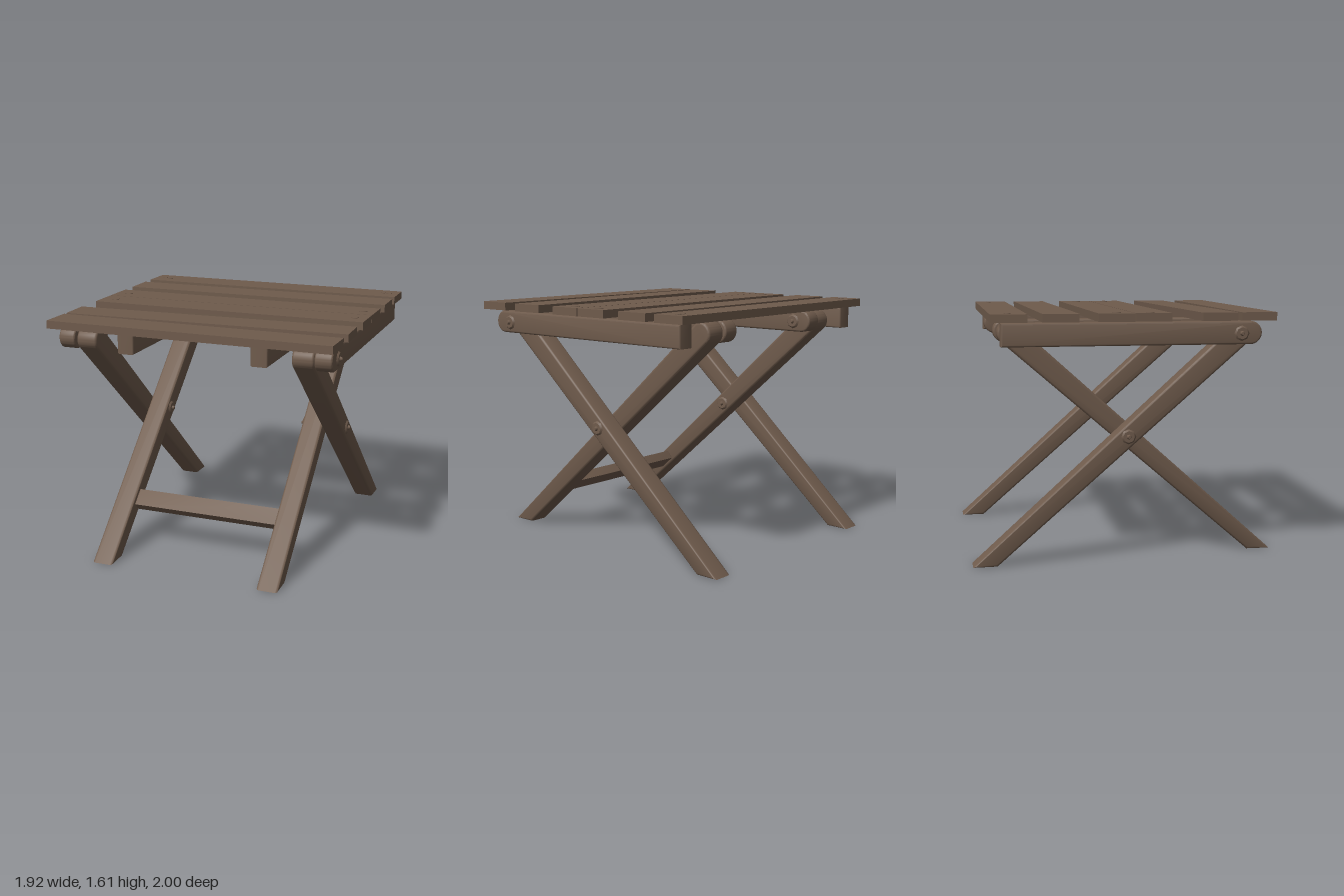
import * as THREE from 'three';
import { toCreasedNormals } from 'three/addons/utils/BufferGeometryUtils.js';

export function createModel() {
  const group = new THREE.Group();
  group.name = 'foldingStool';
  const wood = new THREE.MeshStandardMaterial({ color: 0x6f5b4c });
  wood.name = 'brown wood';

  const add = (name, geometry, x, y, z, parent = group) => {
    const mesh = new THREE.Mesh(geometry, wood);
    mesh.name = name;
    mesh.position.set(x, y, z);
    parent.add(mesh);
    return mesh;
  };

  // Board cut from a side profile (z, y), centred on x, with rounded edges
  const board = (shape, width, bevel) => {
    const geometry = new THREE.ExtrudeGeometry(shape, {
      depth: width - 2 * bevel, bevelEnabled: true, bevelThickness: bevel,
      bevelSize: bevel, bevelOffset: -bevel, bevelSegments: 3, curveSegments: 14,
    });
    geometry.translate(0, 0, bevel - width / 2).rotateY(-Math.PI / 2);
    return toCreasedNormals(geometry, 0.7);
  };

  // Leg: flat foot on the ground, slightly wider rounded top
  const legShape = new THREE.Shape();
  const lean = Math.atan(0.885);
  legShape.moveTo(-1, 0.004);
  legShape.lineTo(-0.845, 0.004);
  legShape.absarc(0.742, 1.475, 0.074, lean - Math.PI / 2, lean + Math.PI / 2, false);
  legShape.closePath();
  const legGeometry = board(legShape, 0.142, 0.016);

  // Rail: one square end, one half-round end
  const railShape = new THREE.Shape();
  railShape.moveTo(-0.815, 1.41);
  railShape.lineTo(0.76, 1.41);
  railShape.absarc(0.76, 1.483, 0.073, -Math.PI / 2, Math.PI / 2, false);
  railShape.lineTo(-0.815, 1.556);
  railShape.closePath();
  const railGeometry = board(railShape, 0.114, 0.012);

  // Bolt: octagonal washer with a domed nut and a short pin, pointing along x
  const addBolt = (name, x, y, z, dir) => {
    const bolt = new THREE.Group();
    bolt.name = name;
    bolt.position.set(x, y, z);
    bolt.rotation.z = -dir * Math.PI / 2;
    add('washer', new THREE.CylinderGeometry(0.038, 0.05, 0.012, 8), 0, 0.006, 0, bolt);
    add('pin', new THREE.CylinderGeometry(0.01, 0.016, 0.016, 8), 0, 0.02, 0, bolt);
    group.add(bolt);
  };

  for (const side of [-1, 1]) {
    const label = side > 0 ? 'left' : 'right';
    // Outer pair stands at the back, inner pair at the front
    add(`${label}OuterLeg`, legGeometry, side * 0.732, 0, 0);
    add(`${label}InnerLeg`, legGeometry, side * 0.58, 0, 0).rotation.y = Math.PI;
    add(`${label}OuterRail`, railGeometry, side * 0.866, 0, 0);
    add(`${label}InnerRail`, railGeometry, side * 0.453, 0, 0).rotation.y = Math.PI;
    addBolt(`${label}OuterRailBolt`, side * 0.922, 1.48, 0.7, side);
    addBolt(`${label}InnerRailBolt`, side * 0.397, 1.48, -0.7, -side);
    addBolt(`${label}OuterPivotBolt`, side * 0.802, 0.82, 0, side);
    addBolt(`${label}InnerPivotBolt`, side * 0.51, 0.82, 0, -side);
  }

  // Crossbar between the inner legs, tilted with them
  const barShape = new THREE.Shape();
  barShape.moveTo(-0.06, -0.033);
  barShape.lineTo(0.06, -0.033);
  barShape.lineTo(0.06, 0.033);
  barShape.lineTo(-0.06, 0.033);
  barShape.closePath();
  const crossbar = add('crossbar', board(barShape, 1.03, 0.012), 0, 0.318, 0.565);
  crossbar.rotation.x = lean;

  // Seat slats: [z centre, turn]
  const slatGeometry = new THREE.BoxGeometry(1.915, 0.052, 0.226);
  const slats = [[-0.76, -0.009], [-0.453, 0.003], [-0.103, -0.002],
    [0.13, -0.002], [0.522, 0.03], [0.812, -0.01]];
  slats.forEach(([z, turn], i) => {
    add(`seatSlat${i + 1}`, slatGeometry, -0.003, 1.587, z).rotation.y = turn;
  });

  // Plugs over the screws: [x, z, radius]
  const plugs = [[0.885, -0.77, 0.019], [0.843, -0.77, 0.019],
    [0.867, -0.092, 0.028], [0.866, 0.122, 0.028]];
  for (const [x, z, r] of plugs) {
    const geometry = new THREE.CylinderGeometry(r, r, 0.006, 16);
    for (const side of [-1, 1]) add('screwPlug', geometry, side * x, 1.613, z);
  }

  return group;
}
